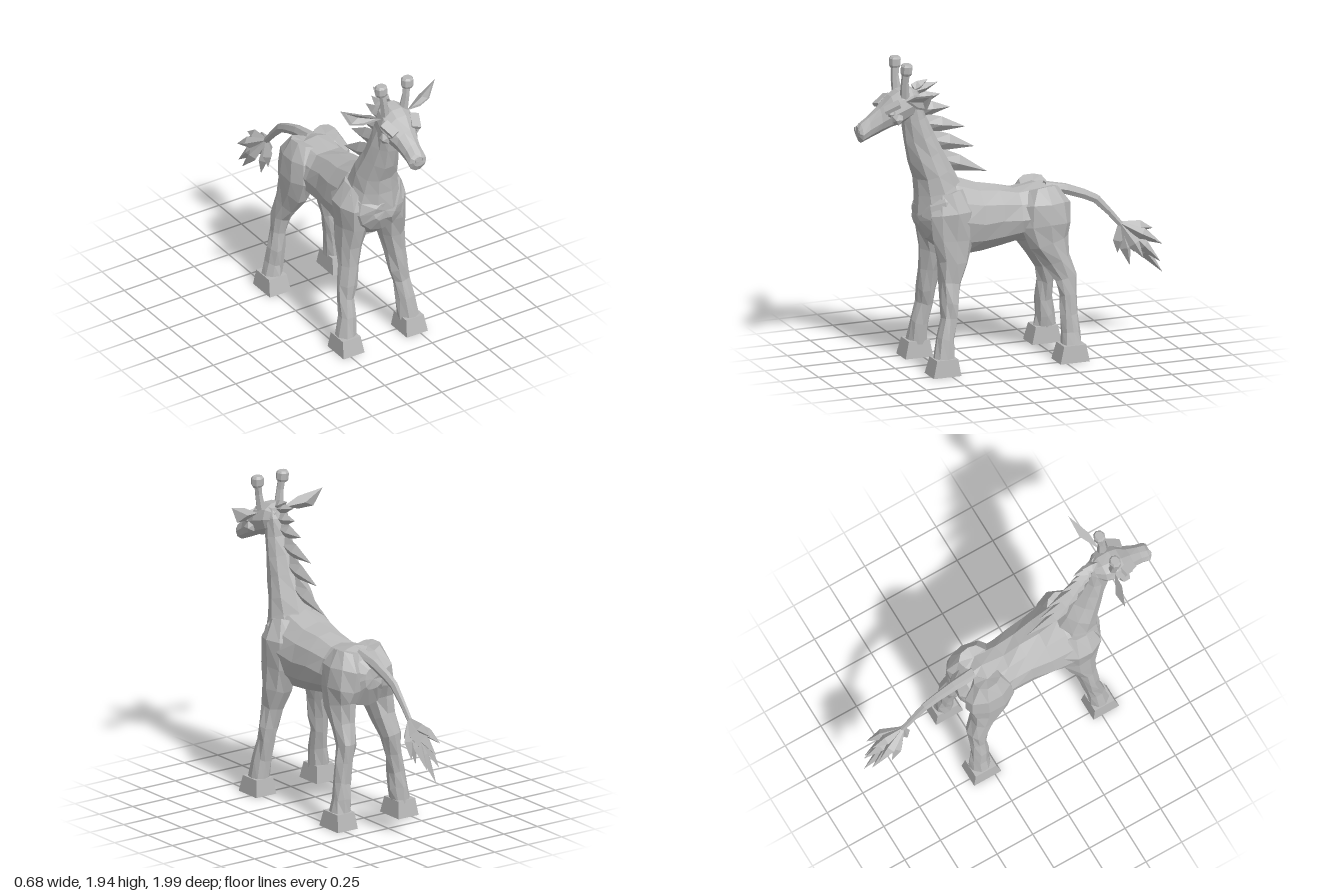
import * as THREE from 'three';

const grey = new THREE.MeshStandardMaterial({ color: 0xb8b8b8, flatShading: true });
grey.name = 'grey';

let seed = 7;
const rand = () => {
  seed = (seed * 16807) % 2147483647;
  return seed / 2147483647 - 0.5;
};

function meshOf(name, geometry) {
  const g = geometry.index ? geometry.toNonIndexed() : geometry;
  g.computeVertexNormals();
  const m = new THREE.Mesh(g, grey);
  m.name = name;
  return m;
}

// Skin over elliptical sections [x, y, z, half width, half depth];
// rings stand square to the path, or to a fixed axis when one is given
function loft(name, sections, sides, rough = 0, axis = null) {
  const pos = [], idx = [];
  const c = sections.map(s => new THREE.Vector3(s[0], s[1], s[2]));
  const last = c.length - 1;
  const X = new THREE.Vector3(1, 0, 0);
  c.forEach((p, i) => {
    const t = axis ? axis.clone()
      : c[Math.min(i + 1, last)].clone().sub(c[Math.max(i - 1, 0)]).normalize();
    const u = X.clone().addScaledVector(t, -t.x).normalize();
    const v = t.clone().cross(u);
    for (let j = 0; j < sides; j++) {
      const a = (j / sides) * Math.PI * 2;
      const q = p.clone()
        .addScaledVector(u, Math.cos(a) * sections[i][3] + rand() * rough)
        .addScaledVector(v, Math.sin(a) * sections[i][4] + rand() * rough)
        .addScaledVector(t, rand() * rough);
      pos.push(q.x, q.y, q.z);
    }
  });
  for (let i = 0; i < last; i++) {
    for (let j = 0; j < sides; j++) {
      const a = i * sides + j, b = i * sides + (j + 1) % sides;
      idx.push(a, b, a + sides, b, b + sides, a + sides);
    }
  }
  const start = pos.length / 3, end = start + 1;
  pos.push(...c[0].toArray(), ...c[last].toArray());
  for (let j = 0; j < sides; j++) {
    const k = (j + 1) % sides;
    idx.push(start, k, j, end, last * sides + j, last * sides + k);
  }
  const g = new THREE.BufferGeometry();
  g.setAttribute('position', new THREE.Float32BufferAttribute(pos, 3));
  g.setIndex(idx);
  return meshOf(name, g);
}

// Sections along z given as [z, top, bottom, half width]
const alongZ = rows => rows.map(([z, top, bot, w]) => [0, (top + bot) / 2, z, w, (top - bot) / 2]);
const mirrorX = (rows, s) => rows.map(([x, ...rest]) => [x * s, ...rest]);

// Tapered box: bottom size and top size, standing on y = 0
function hoof(name, x, z, w, d, h) {
  const g = new THREE.BoxGeometry(w, h, d);
  const p = g.attributes.position;
  for (let i = 0; i < p.count; i++) {
    if (p.getY(i) > 0) p.setXYZ(i, p.getX(i) * 0.84, p.getY(i), p.getZ(i) * 0.76 - 0.005);
  }
  g.translate(x, h / 2, z);
  return meshOf(name, g);
}

// Dished leaf-shaped ear
function ear(s) {
  const rim = [[0.09, 1.70, 0.715], [0.2, 1.68, 0.69], [0.285, 1.69, 0.66], [0.34, 1.80, 0.64], [0.2, 1.757, 0.70]]
    .map(r => new THREE.Vector3(...r));
  const mid = new THREE.Vector3(0.235, 1.727, 0.68);
  const inner = rim.map(r => r.clone().lerp(mid, 0.28));
  const dish = mid.clone().add(new THREE.Vector3(-0.01, 0, -0.02));
  const back = mid.clone().add(new THREE.Vector3(-0.02, 0, -0.035));
  const pos = [];
  const tri = (a, b, c) => (s > 0 ? [a, b, c] : [a, c, b]).forEach(v => pos.push(v.x * s, v.y, v.z));
  rim.forEach((r, i) => {
    const k = (i + 1) % rim.length;
    tri(r, rim[k], inner[k]);
    tri(r, inner[k], inner[i]);
    tri(inner[i], inner[k], dish);
    tri(rim[k], r, back);
  });
  const g = new THREE.BufferGeometry();
  g.setAttribute('position', new THREE.Float32BufferAttribute(pos, 3));
  return meshOf(s > 0 ? 'leftEar' : 'rightEar', g);
}

export function createModel() {
  seed = 7;
  const model = new THREE.Group();
  model.name = 'giraffe';
  const add = (...m) => model.add(...m);
  const Z = new THREE.Vector3(0, 0, 1);

  // Trunk, neck and head
  add(loft('body', alongZ([
    [-0.35, 0.98, 0.84, 0.07], [-0.29, 1.04, 0.72, 0.14], [-0.17, 1.085, 0.71, 0.18],
    [-0.02, 1.06, 0.72, 0.165], [0.1, 1.095, 0.70, 0.17], [0.23, 1.12, 0.685, 0.19],
    [0.37, 1.17, 0.68, 0.21], [0.49, 1.17, 0.74, 0.205], [0.57, 1.10, 0.81, 0.16], [0.615, 1.02, 0.90, 0.08],
  ]), 12, 0.014, Z));
  add(loft('neck', [
    [0, 1.0, 0.46, 0.18, 0.17], [0, 1.12, 0.485, 0.155, 0.14], [0, 1.22, 0.515, 0.135, 0.12],
    [0, 1.33, 0.56, 0.11, 0.105], [0, 1.45, 0.6, 0.09, 0.093], [0, 1.57, 0.63, 0.075, 0.08],
    [0, 1.68, 0.65, 0.07, 0.065], [0, 1.74, 0.66, 0.05, 0.05],
  ], 10, 0.014));
  add(loft('head', alongZ([
    [0.61, 1.74, 1.62, 0.05], [0.66, 1.77, 1.57, 0.095], [0.74, 1.76, 1.54, 0.115],
    [0.79, 1.73, 1.53, 0.11], [0.86, 1.66, 1.50, 0.075], [0.93, 1.605, 1.47, 0.06],
    [0.98, 1.57, 1.45, 0.062], [1.0, 1.55, 1.485, 0.045],
  ]), 10, 0.004, Z));

  for (const s of [1, -1]) {
    const side = s > 0 ? 'left' : 'right';

    // Face details
    const eye = meshOf(side + 'Eye', new THREE.IcosahedronGeometry(0.024));
    eye.position.set(s * 0.092, 1.635, 0.815);
    const cheek = meshOf(side + 'Cheek', new THREE.IcosahedronGeometry(0.04));
    cheek.position.set(s * 0.1, 1.6, 0.775);
    const brow = meshOf(side + 'Brow', new THREE.BoxGeometry(0.06, 0.025, 0.1));
    brow.position.set(s * 0.09, 1.675, 0.805);
    brow.rotation.set(0.5, s * -0.35, s * -0.15);
    const nostril = meshOf(side + 'Nostril', new THREE.BoxGeometry(0.016, 0.018, 0.008));
    nostril.position.set(s * 0.025, 1.53, 1.0);
    add(eye, cheek, brow, nostril, ear(s));

    // Horns with square knobs
    add(loft(side + 'Horn', mirrorX([
      [0.065, 1.72, 0.715, 0.03, 0.03], [0.08, 1.82, 0.72, 0.024, 0.024], [0.09, 1.89, 0.715, 0.024, 0.024],
    ], s), 6));
    add(loft(side + 'HornKnob', mirrorX([
      [0.09, 1.87, 0.715, 0.032, 0.03], [0.092, 1.885, 0.715, 0.04, 0.037],
      [0.094, 1.925, 0.713, 0.04, 0.037], [0.094, 1.938, 0.713, 0.03, 0.026],
    ], s), 8));

    // Legs
    add(loft(side + 'FrontLeg', mirrorX([
      [0.10, 1.1, 0.44, 0.07, 0.09], [0.13, 0.98, 0.43, 0.105, 0.15], [0.135, 0.82, 0.43, 0.09, 0.135],
      [0.15, 0.68, 0.435, 0.078, 0.095], [0.162, 0.56, 0.46, 0.066, 0.065], [0.185, 0.43, 0.475, 0.064, 0.056],
      [0.197, 0.34, 0.482, 0.054, 0.052], [0.208, 0.22, 0.505, 0.055, 0.058], [0.222, 0.09, 0.52, 0.062, 0.066],
    ], s), 9, 0.016));
    add(loft(side + 'HindLeg', mirrorX([
      [0.08, 1.06, -0.18, 0.07, 0.09], [0.11, 0.96, -0.185, 0.095, 0.155], [0.125, 0.84, -0.18, 0.095, 0.165],
      [0.135, 0.73, -0.195, 0.08, 0.125], [0.148, 0.62, -0.245, 0.068, 0.09], [0.165, 0.51, -0.295, 0.06, 0.07],
      [0.182, 0.4, -0.3, 0.053, 0.055], [0.2, 0.28, -0.3, 0.053, 0.057], [0.213, 0.18, -0.307, 0.056, 0.062],
      [0.222, 0.09, -0.31, 0.062, 0.07],
    ], s), 9, 0.014));
    add(hoof(side + 'FrontHoof', s * 0.227, 0.53, 0.15, 0.18, 0.105));
    add(hoof(side + 'HindHoof', s * 0.227, -0.302, 0.15, 0.19, 0.105));
  }

  // Mane: [base y, base z, tip y, tip z, half height of base]
  [
    [1.75, 0.63, 1.80, 0.54, 0.035], [1.74, 0.62, 1.775, 0.475, 0.035], [1.68, 0.61, 1.70, 0.46, 0.045],
    [1.62, 0.59, 1.61, 0.395, 0.05], [1.53, 0.56, 1.475, 0.295, 0.055], [1.42, 0.52, 1.345, 0.235, 0.06],
    [1.3, 0.47, 1.18, 0.155, 0.06],
  ].forEach(([y, z, ty, tz, h], i) => {
    const my = y + (ty - y) * 0.4, mz = z + (tz - z) * 0.4;
    add(loft('maneTuft' + (i + 1), [
      [0, y, z, 0.025, h], [0, my, mz, 0.034, h * 0.85], [0, ty, tz, 0.001, 0.001],
    ], 4));
  });

  // Tail and its tuft of pointed locks
  add(loft('tail', [
    [0, 1.04, -0.22, 0.04, 0.035], [0, 1.01, -0.36, 0.033, 0.035], [0, 0.965, -0.48, 0.027, 0.032],
    [0, 0.925, -0.56, 0.024, 0.03], [0, 0.83, -0.65, 0.018, 0.022], [0, 0.73, -0.735, 0.016, 0.018],
  ], 6));
  [
    [0, 0.42, -0.99], [0, 0.595, -0.99], [0, 0.70, -0.93], [0, 0.485, -0.78], [0, 0.57, -0.70],
    [0.075, 0.64, -0.93], [-0.075, 0.64, -0.93], [0.075, 0.54, -0.84], [-0.075, 0.54, -0.84],
    [0.045, 0.5, -0.96], [-0.045, 0.5, -0.96],
  ].forEach(([x, y, z], i) => {
    const at = k => [x * k * 1.2, 0.755 + (y - 0.755) * k, -0.715 + (z + 0.715) * k];
    add(loft('tailLock' + (i + 1), [
      [...at(0), 0.01, 0.01], [...at(0.58), 0.034, 0.036], [x, y, z, 0.001, 0.001],
    ], 4));
  });

  return model;
}
